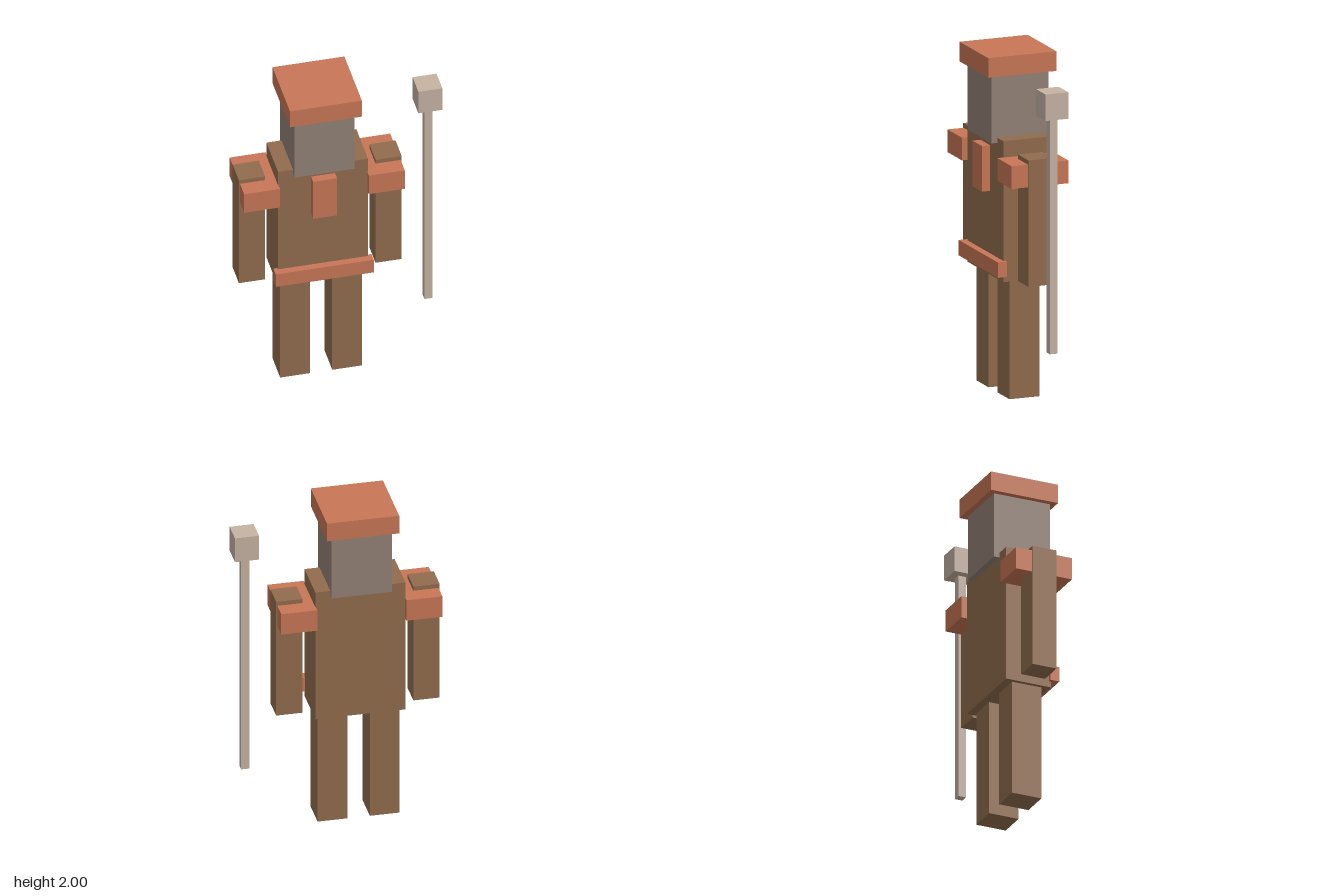
import * as THREE from 'three';

const material = (color) => new THREE.MeshStandardMaterial({ color, flatShading: true });

export function createModel() {
  const model = new THREE.Group();
  model.name = 'blockFigure';

  const brown = material(0x916c4d);
  const orange = material(0xc87656);
  const taupe = material(0x928175);
  const pale = material(0xc6b3a3);

  // Box standing on height y, centred on x and z in its parent
  const box = (parent, name, mat, [w, h, d], x, y, z = 0) => {
    const mesh = new THREE.Mesh(new THREE.BoxGeometry(w, h, d), mat);
    mesh.name = name;
    mesh.position.set(x, y + h / 2, z);
    parent.add(mesh);
  };

  // Body, symmetric about its own axis, set aside to make room for the staff
  const figure = new THREE.Group();
  figure.name = 'figure';
  figure.position.x = -0.122;
  model.add(figure);

  box(figure, 'torso', brown, [0.525, 0.825, 0.28], 0, 0.695);
  box(figure, 'head', taupe, [0.35, 0.4, 0.35], 0, 1.49);
  box(figure, 'cap', orange, [0.42, 0.115, 0.42], 0, 1.885);
  box(figure, 'chestPlate', orange, [0.14, 0.267, 0.056], 0, 1.185, 0.162);
  box(figure, 'belt', orange, [0.573, 0.09, 0.056], 0, 0.73, 0.155);

  // Limbs and shoulder pads, mirrored
  for (const [side, s] of [['left', 1], ['right', -1]]) {
    box(figure, side + 'Leg', brown, [0.173, 0.695, 0.184], s * 0.152, 0);
    box(figure, side + 'Arm', brown, [0.153, 0.74, 0.15], s * 0.399, 0.71);
    box(figure, side + 'ShoulderPad', orange, [0.21, 0.133, 0.35], s * 0.364, 1.291);
  }

  // Staff floating at the figure's left
  const staff = new THREE.Group();
  staff.name = 'staff';
  staff.position.x = 0.522;
  model.add(staff);
  box(staff, 'staffShaft', pale, [0.047, 1.38, 0.047], 0, 0.355);
  box(staff, 'staffHead', pale, [0.14, 0.155, 0.14], 0, 1.735);

  return model;
}
